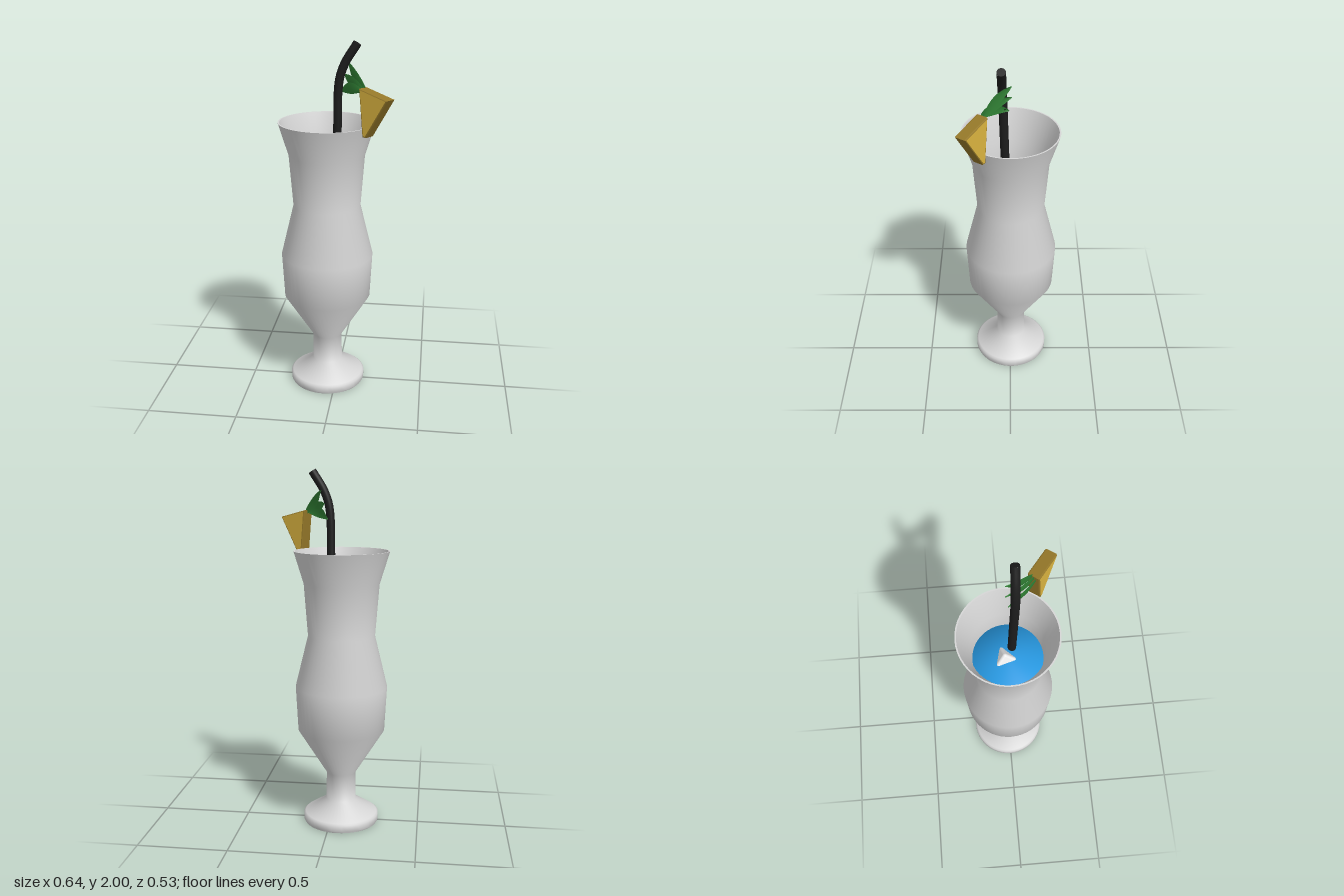
import * as THREE from 'three';
import { toCreasedNormals } from 'three/addons/utils/BufferGeometryUtils.js';
import { RoundedBoxGeometry } from 'three/addons/geometries/RoundedBoxGeometry.js';

const material = (name, color, side = THREE.FrontSide) => {
  const m = new THREE.MeshStandardMaterial({ color, side });
  m.name = name;
  return m;
};

const V = (x, y, z) => new THREE.Vector3(x, y, z);

function lathe(points, segments = 48) {
  return new THREE.LatheGeometry(points.map(([r, y]) => new THREE.Vector2(r, y)), segments);
}

// Pointed blade: a strip along a curve, widened upright to its direction
function leafGeometry(curve, width, bow) {
  const n = 10, pos = [], index = [];
  for (let i = 0; i <= n; i++) {
    const t = i / n;
    const p = curve.getPoint(t);
    const d = curve.getTangent(t);
    const side = V(d.z, 0, -d.x).normalize();
    const up = side.clone().cross(d).normalize();
    if (up.y < 0) up.negate();
    const w = width * 0.5 * (Math.pow(Math.sin(Math.PI * (0.12 + 0.88 * t)), 0.8));
    for (const s of [-1, 0, 1]) {
      const q = p.clone().addScaledVector(up, s * w);
      if (s === 0) q.addScaledVector(side, bow);
      pos.push(q.x, q.y, q.z);
    }
    if (i < n) {
      for (let k = 0; k < 2; k++) {
        const a = i * 3 + k;
        index.push(a, a + 3, a + 1, a + 1, a + 3, a + 4);
      }
    }
  }
  const g = new THREE.BufferGeometry();
  g.setAttribute('position', new THREE.Float32BufferAttribute(pos, 3));
  g.setIndex(index);
  g.computeVertexNormals();
  return g;
}

export function createModel() {
  const group = new THREE.Group();
  group.name = 'cocktail';
  const glassMat = material('glass grey', 0xd6d6d6);
  const drinkMat = material('drink blue', 0x2799e2);
  const iceMat = material('ice white', 0xe8e8e8);
  const strawMat = material('straw black', 0x1c1c1c);
  const fleshMat = material('pineapple yellow', 0xdcb540);
  const rindMat = material('pineapple rind', 0x957829);
  const leafMat = material('leaf green', 0x2f7d33, THREE.DoubleSide);

  const add = (name, geometry, mat, parent = group) => {
    const mesh = new THREE.Mesh(geometry, mat);
    mesh.name = name;
    parent.add(mesh);
    return mesh;
  };

  // Footed glass with a thin wall, outer profile up and inner profile down
  const cup = new THREE.Group();
  cup.name = 'glassAndDrink';
  cup.position.set(-0.055, 0, -0.003);
  group.add(cup);
  const glass = lathe([
    [0, 0], [0.21, 0], [0.215, 0.01], [0.215, 0.045], [0.205, 0.053], [0.085, 0.132],
    [0.083, 0.29], [0.245, 0.55], [0.258, 0.8], [0.187, 1.09], [0.209, 1.38], [0.264, 1.56],
    [0.256, 1.56], [0.198, 1.38], [0.176, 1.09], [0.246, 0.8], [0.233, 0.555], [0.07, 0.3], [0, 0.3],
  ]);
  add('glass', toCreasedNormals(glass, 1.05), glassMat, cup);

  // Drink filling the bowl, softly shaded towards its edge
  add('drink', lathe([
    [0, 0.305], [0.066, 0.305], [0.228, 0.56], [0.24, 0.8], [0.172, 1.09], [0.188, 1.26], [0, 1.265],
  ]), drinkMat, cup);

  // Ice cube standing on its corner, its tip above the drink
  const ice = add('iceCube', new RoundedBoxGeometry(0.15, 0.15, 0.15, 4, 0.014), iceMat);
  const tip = new THREE.Quaternion().setFromUnitVectors(V(1, 1, 1).normalize(), V(0, 1, 0));
  const yaw = new THREE.Quaternion().setFromAxisAngle(V(0, 1, 0), -1.03);
  ice.quaternion.copy(yaw.multiply(tip));
  ice.position.set(-0.055, 1.183, -0.02);

  // Bent straw with closed ends
  const path = new THREE.CatmullRomCurve3([
    V(-0.012, 0.75, 0.005), V(0.0, 1.25, 0.022), V(0.008, 1.55, 0.031), V(0.011, 1.72, 0.036),
    V(0.022, 1.81, 0.039), V(0.05, 1.885, 0.041), V(0.112, 1.984, 0.043),
  ], false, 'centripetal');
  const radius = 0.023;
  add('straw', new THREE.TubeGeometry(path, 48, radius, 16), strawMat);
  for (const t of [0, 1]) {
    const cap = add('strawEnd', new THREE.CircleGeometry(radius, 16), strawMat);
    const d = path.getTangent(t).multiplyScalar(t ? 1 : -1);
    cap.position.copy(path.getPoint(t));
    cap.quaternion.setFromUnitVectors(V(0, 0, 1), d);
  }

  // Pineapple wedge: bevelled triangle with yellow faces and darker edges
  const bevel = 0.007, depth = 0.067;
  const wedgeShape = new THREE.Shape([
    new THREE.Vector2(0.008, 1.765), new THREE.Vector2(0.033, 1.53),
    new THREE.Vector2(0.045, 1.53), new THREE.Vector2(0.175, 1.728),
  ]);
  const wedgeGeo = new THREE.ExtrudeGeometry(wedgeShape, {
    depth: depth - 2 * bevel, bevelEnabled: true, bevelSize: bevel, bevelThickness: bevel, bevelSegments: 2,
  });
  wedgeGeo.translate(0, 0, -depth / 2 + bevel);
  const wedge = add('pineappleWedge', wedgeGeo, [fleshMat, rindMat]);
  wedge.position.set(0.15, 0, 0.135);
  wedge.rotation.y = -Math.atan2(0.105, 0.15);

  // Three leaves fanning out from the wedge towards the straw
  const leaves = [
    [V(0.158, 1.765, 0.128), V(0.09, 1.83, 0.075), V(0.06, 1.882, -0.008)],
    [V(0.147, 1.763, 0.134), V(0.08, 1.795, 0.09), V(0.04, 1.812, -0.01)],
    [V(0.136, 1.76, 0.142), V(0.07, 1.775, 0.1), V(0.025, 1.728, 0.002)],
  ];
  for (const [a, b, c] of leaves) {
    add('leaf', leafGeometry(new THREE.QuadraticBezierCurve3(a, b, c), 0.058, 0.005), leafMat);
  }
  return group;
}
